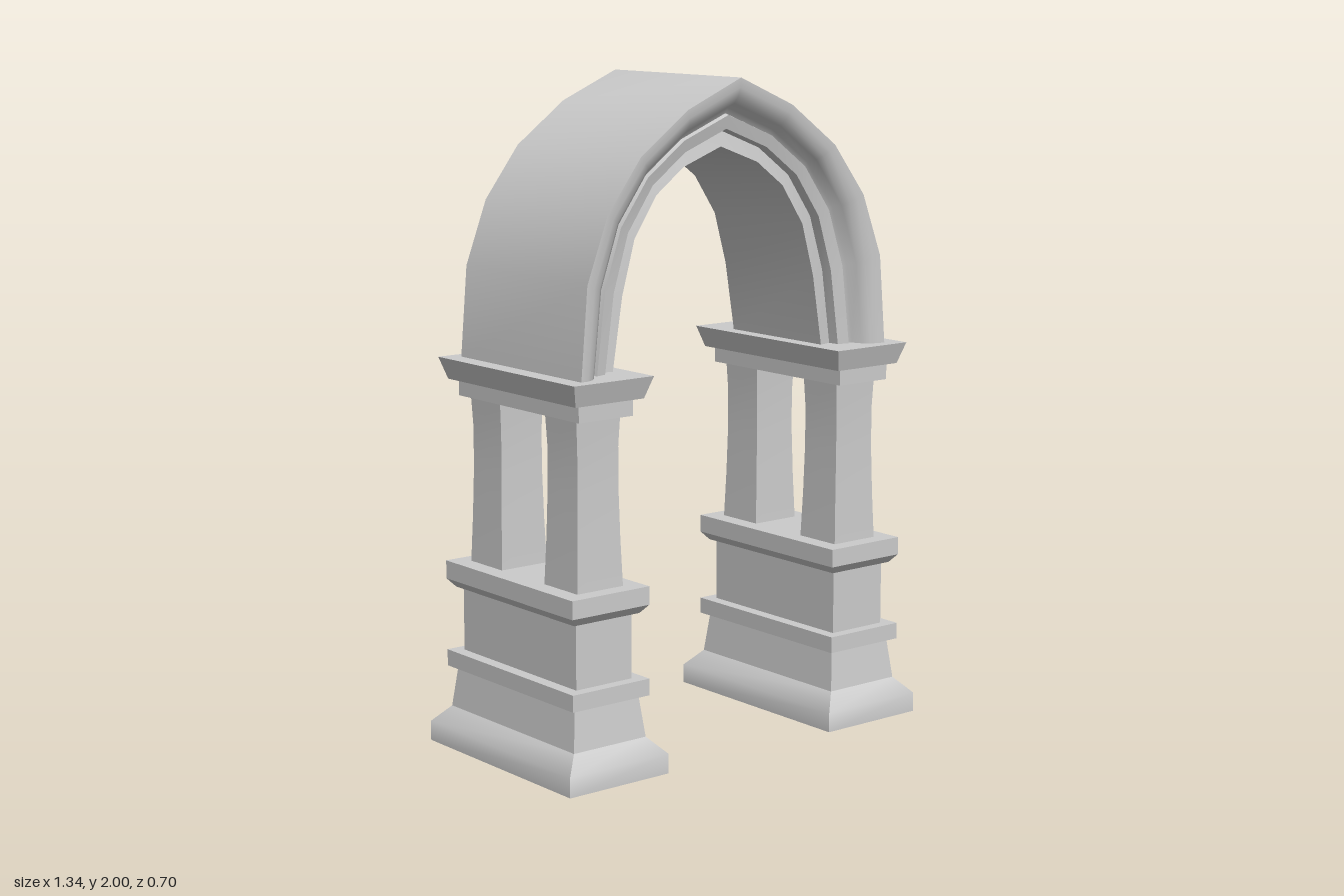
import * as THREE from 'three';
import { toCreasedNormals } from 'three/addons/utils/BufferGeometryUtils.js';

const material = new THREE.MeshStandardMaterial({ color: 0xcccccc, side: THREE.DoubleSide });

// Skin a series of closed cross-sections, each a list of [x, y, z]
function loft(name, sections, crease) {
  const pos = [];
  for (let s = 0; s < sections.length - 1; s++) {
    const a = sections[s], b = sections[s + 1], n = a.length;
    for (let i = 0; i < n; i++) {
      const j = (i + 1) % n;
      pos.push(...a[i], ...a[j], ...b[j], ...a[i], ...b[j], ...b[i]);
    }
  }
  const geometry = new THREE.BufferGeometry();
  geometry.setAttribute('position', new THREE.Float32BufferAttribute(pos, 3));
  geometry.computeVertexNormals();
  const mesh = new THREE.Mesh(toCreasedNormals(geometry, crease), material);
  mesh.name = name;
  return mesh;
}

// Rectangular moulding from [half width, half depth, height] steps
const tiers = (name, steps, crease = 0.5) =>
  loft(name, steps.map(([w, d, y]) => [[-w, y, d], [w, y, d], [w, y, -d], [-w, y, -d]]), crease);

function createPier() {
  const pier = new THREE.Group();

  // Hollow foot with a softened top edge
  pier.add(tiers('foot', [
    [0.178, 0.352, 0], [0.178, 0.352, 0.06], [0.13, 0.307, 0.11],
  ], 0.85));

  // Stepped pedestal, closed on top
  pier.add(tiers('pedestal', [
    [0.13, 0.307, 0.11], [0.115, 0.292, 0.235],
    [0.138, 0.315, 0.235], [0.138, 0.315, 0.285],
    [0.1, 0.28, 0.285], [0.1, 0.28, 0.48],
    [0.117, 0.295, 0.48], [0.138, 0.315, 0.505],
    [0.138, 0.315, 0.56], [0, 0, 0.56],
  ]));

  // Two square columns with a slight waist
  for (const side of [1, -1]) {
    const column = tiers(side > 0 ? 'frontColumn' : 'backColumn', [
      [0.082, 0.079, 0.56], [0.077, 0.074, 0.7], [0.073, 0.071, 0.85],
      [0.073, 0.071, 0.97], [0.078, 0.074, 1.06],
    ]);
    column.position.z = side * 0.185;
    pier.add(column);
  }

  // Capital shared by both columns
  pier.add(tiers('capital', [
    [0, 0, 1.06], [0.096, 0.295, 1.06], [0.096, 0.295, 1.11],
    [0.121, 0.314, 1.11], [0.141, 0.335, 1.175], [0, 0, 1.175],
  ]));
  return pier;
}

function createArch() {
  // Left half stations: outer x, y and inner x, y, springing to apex
  const half = [
    [0.58, 1.175, 0.4, 1.175], [0.557, 1.445, 0.365, 1.39], [0.485, 1.635, 0.32, 1.55],
    [0.367, 1.79, 0.24, 1.67], [0.197, 1.915, 0.14, 1.745], [0, 2, 0, 1.797],
  ];
  const mirrored = half.map(([ox, oy, ix, iy]) => [-ox, oy, -ix, iy]);
  const stations = [...mirrored, ...half.slice(0, -1).reverse()];

  // Face moulding: [fraction from outer to inner edge, depth]
  const face = [
    [0, 0.295], [0.14, 0.293], [0.27, 0.283], [0.37, 0.265], [0.44, 0.235],
    [0.52, 0.225], [0.54, 0.24], [0.74, 0.23], [0.76, 0.195], [1, 0.205],
  ];
  const outline = [...face, ...face.map(([t, z]) => [t, -z]).reverse()];
  const sections = stations.map(([ox, oy, ix, iy]) =>
    outline.map(([t, z]) => [ox + (ix - ox) * t, oy + (iy - oy) * t, z]));
  return loft('arch', sections, 0.85);
}

export function createModel() {
  const model = new THREE.Group();
  model.name = 'archway';
  for (const side of [1, -1]) {
    const pier = createPier();
    pier.name = side > 0 ? 'leftPier' : 'rightPier';
    pier.position.x = side * 0.494;
    model.add(pier);
  }
  model.add(createArch());
  return model;
}
